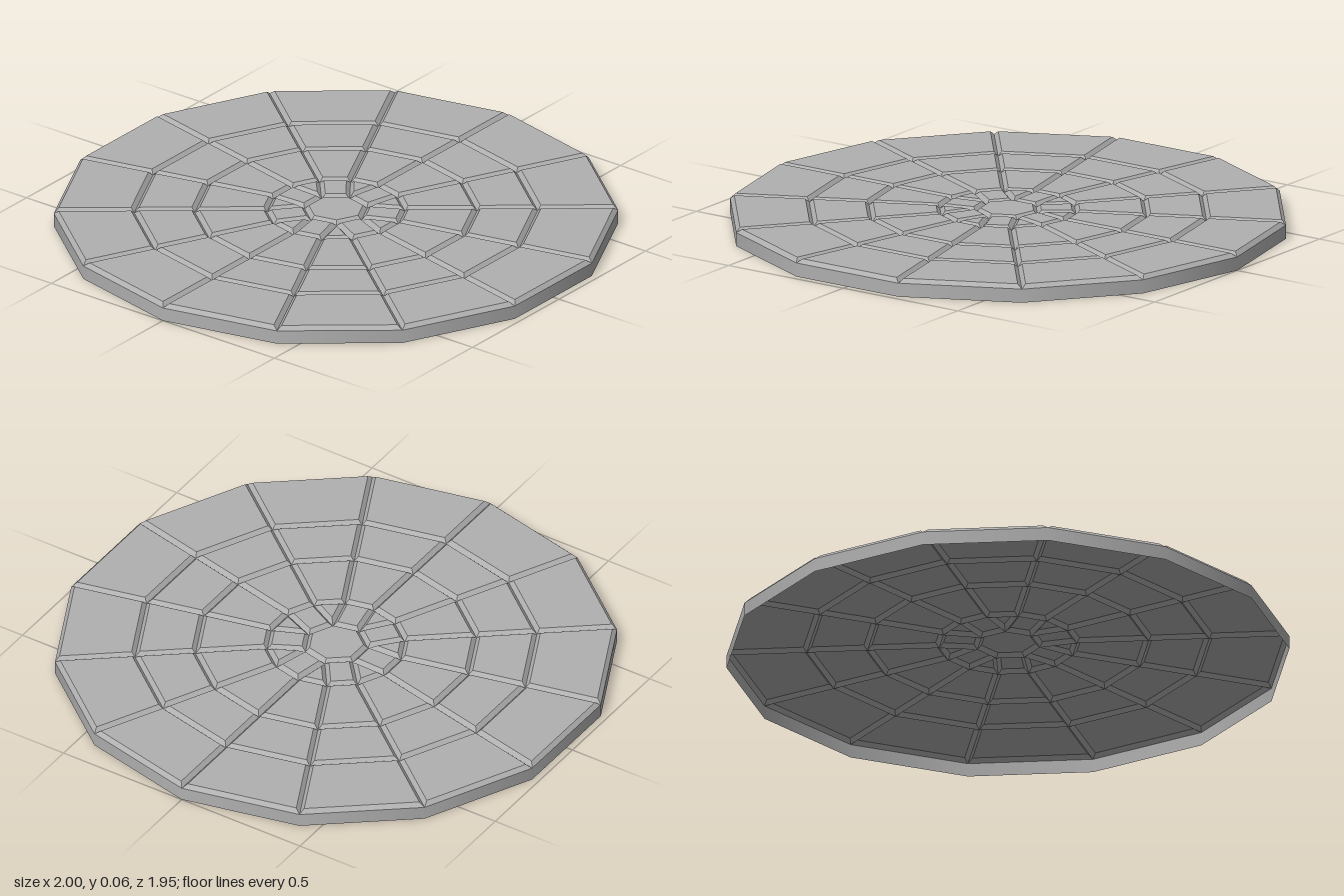
import * as THREE from 'three';

const SIDES = 14, TOP = 0.065, SEAM = 0.05, BEVEL = 0.014;
const RINGS = [1, 0.715, 0.5, 0.245];
const HUB = 0.114;

// Corner at a step of the 14-sided circle; plan coordinates are (x, -z)
const corner = (radius, step) => {
  const a = (step * 2 * Math.PI) / SIDES;
  return new THREE.Vector2(radius * Math.cos(a), radius * Math.sin(a));
};

// Moves every edge of a counter-clockwise outline inwards
function inset(outline, width) {
  const n = outline.length;
  const normal = (a, b) => {
    const d = b.clone().sub(a).normalize();
    return new THREE.Vector2(-d.y, d.x);
  };
  return outline.map((p, i) => {
    const n0 = normal(outline[(i + n - 1) % n], p);
    const n1 = normal(p, outline[(i + 1) % n]);
    const scale = width / (1 + n0.dot(n1));
    return p.clone().add(n0.add(n1).multiplyScalar(scale));
  });
}

// Slabs with flat tops and bevels that meet their neighbours at the seams
function slabs(outlines) {
  const pos = [];
  const put = (p, y) => pos.push(p.x, y, -p.y);
  for (const outer of outlines) {
    const inner = inset(outer, BEVEL);
    const n = outer.length;
    for (let i = 1; i < n - 1; i++) {
      put(inner[0], TOP); put(inner[i], TOP); put(inner[i + 1], TOP);
    }
    for (let i = 0; i < n; i++) {
      const j = (i + 1) % n;
      put(outer[i], SEAM); put(outer[j], SEAM); put(inner[j], TOP);
      put(outer[i], SEAM); put(inner[j], TOP); put(inner[i], TOP);
    }
  }
  const geometry = new THREE.BufferGeometry();
  geometry.setAttribute('position', new THREE.Float32BufferAttribute(pos, 3));
  geometry.computeVertexNormals();
  return geometry;
}

export function createModel() {
  const group = new THREE.Group();
  group.name = 'pavedDisc';
  const stone = new THREE.MeshStandardMaterial({ color: 0xb0b0b0, side: THREE.DoubleSide });
  stone.name = 'grey stone';
  const add = (name, geometry) => {
    const mesh = new THREE.Mesh(geometry, stone);
    mesh.name = name;
    group.add(mesh);
  };

  // Rim wall, open underneath
  const rim = new THREE.CylinderGeometry(1, 1, SEAM, SIDES, 1, true);
  rim.rotateY(Math.PI / 2).translate(0, SEAM / 2, 0);
  add('rimWall', rim);

  // Three rings of fourteen slabs
  ['outerRing', 'middleRing', 'innerRing'].forEach((name, r) => {
    const outlines = [];
    for (let i = 0; i < SIDES; i++) {
      outlines.push([
        corner(RINGS[r + 1], i), corner(RINGS[r], i),
        corner(RINGS[r], i + 1), corner(RINGS[r + 1], i + 1),
      ]);
    }
    add(name, slabs(outlines));
  });

  // Seven-sided hub, ringed by alternating four-sided and wedge slabs
  const hub = [], blocks = [], wedges = [];
  const r = RINGS[3];
  for (let k = 0; k < 7; k++) {
    const s = 2 * k - 3.5;
    hub.push(corner(HUB, s));
    blocks.push([corner(HUB, s), corner(r, s + 0.5), corner(r, s + 1.5), corner(HUB, s + 2)]);
    wedges.push([corner(HUB, s), corner(r, s - 0.5), corner(r, s + 0.5)]);
  }
  add('hubBlocks', slabs(blocks));
  add('hubWedges', slabs(wedges));
  add('hubStone', slabs([hub]));

  return group;
}
